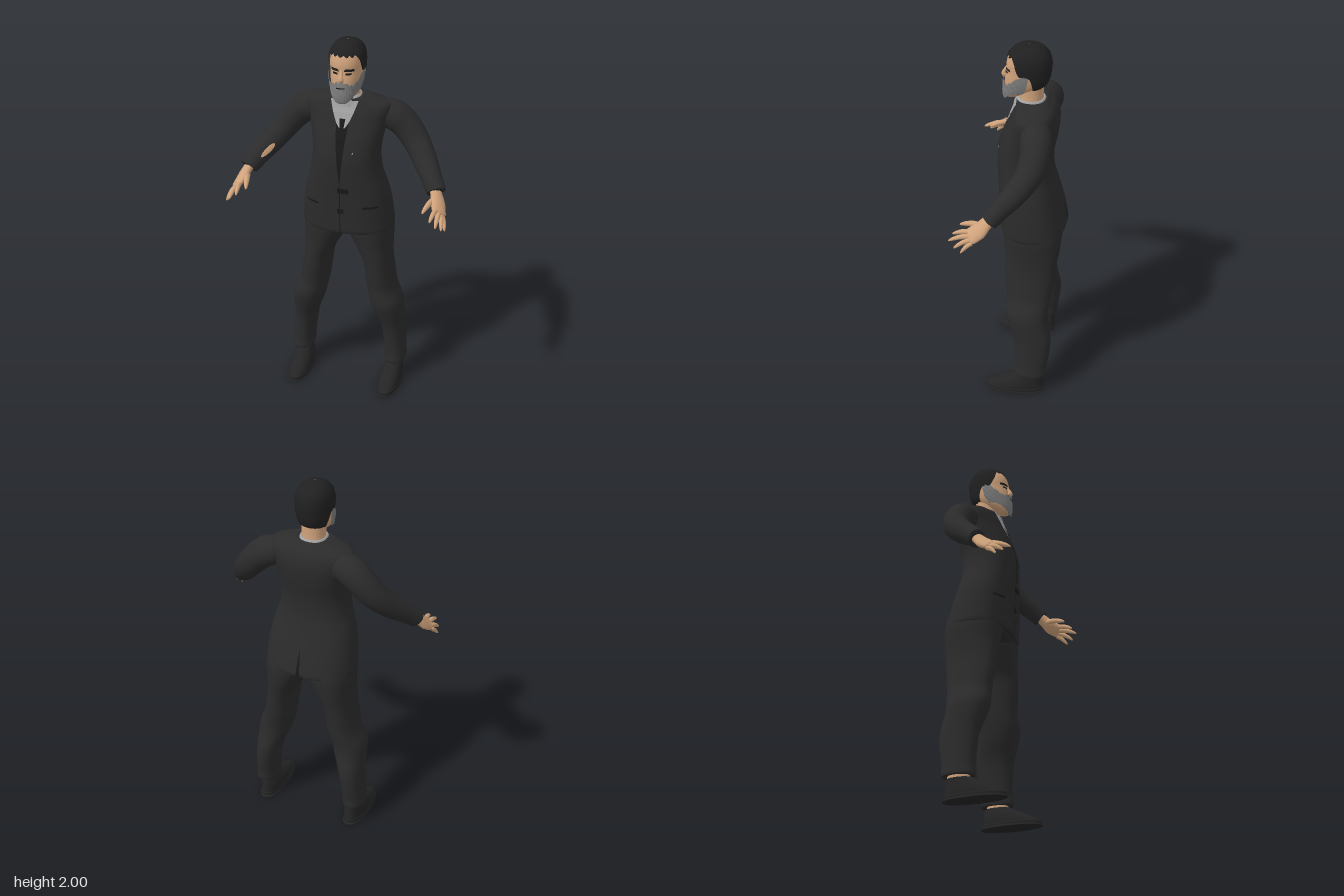
import * as THREE from 'three';
import { ParametricGeometry } from 'three/addons/geometries/ParametricGeometry.js';

const material = (name, color) => {
  const m = new THREE.MeshStandardMaterial({ color });
  m.name = name;
  return m;
};
const mix = (a, b, t) => a + (b - a) * t;
const smooth = (a, b, x) => THREE.MathUtils.smoothstep(x, a, b);

// Smoothly interpolated row [y, centreX, halfWidth, frontZ, backZ] at fractional index k
function rowAt(rows, k) {
  const n = rows.length - 1, i = Math.min(Math.floor(k), n - 1), t = k - i;
  const p = [i - 1, i, i + 1, i + 2].map((j) => rows[THREE.MathUtils.clamp(j, 0, n)]);
  return p[1].map((b, c) => {
    const a = p[0][c], d = p[2][c], e = p[3][c];
    return b + 0.5 * t * (d - a + t * (2 * a - 5 * b + 4 * d - e + t * (3 * (b - d) + e - a)));
  });
}
// Fractional index of height y
function indexOf(rows, y) {
  let i = 0;
  while (i < rows.length - 2 && rows[i + 1][0] <= y) i++;
  return i + THREE.MathUtils.clamp((y - rows[i][0]) / (rows[i + 1][0] - rows[i][0] || 1), 0, 1);
}
// Point on the rounded cross-section; angle 0 faces front
function ringPoint(rows, k, angle, off, power, out) {
  const [y, cx, rx, zf, zb] = rowAt(rows, k);
  const q = (v) => Math.sign(v) * Math.pow(Math.abs(v), 2 / power);
  return out.set(cx + (rx + off) * q(Math.sin(angle)), y,
    (zf + zb) / 2 + ((zf - zb) / 2 + off) * q(Math.cos(angle)));
}
const loft = (rows, power = 2.2) => (u, v, out) =>
  ringPoint(rows, v * (rows.length - 1), (u - 0.5) * Math.PI * 2, 0, power, out);

// Thin panel lying on the front (or back) of a loft, between two edges given as functions of y
const panel = (rows, power, y0, y1, left, right, off, back = false) => (u, v, out) => {
  const y = mix(y0, y1, v), [, cx, rx, zf, zb] = rowAt(rows, indexOf(rows, y));
  const x = THREE.MathUtils.clamp(mix(left(y), right(y), back ? 1 - u : u), -rx * 0.97, rx * 0.97);
  const bulge = Math.pow(1 - Math.pow(Math.abs((x - cx) / rx), power), 1 / power);
  const side = back ? -1 : 1;
  return out.set(x, y, (zf + zb) / 2 + side * ((zf - zb) / 2 * bulge + off));
};

// Elliptical tube through [x, y, z, radiusAlongSide, radiusAcross]
function tube(points, side, off = 0) {
  const curve = new THREE.CatmullRomCurve3(points.map((p) => new THREE.Vector3(p[0], p[1], p[2])));
  const hint = new THREE.Vector3(...side);
  return (u, v, out) => {
    const w = THREE.MathUtils.clamp(v, 0, 1), k = w * (points.length - 1);
    const i = Math.min(Math.floor(k), points.length - 2), a = u * Math.PI * 2;
    const t = curve.getTangent(w), s = hint.clone().addScaledVector(t, -hint.dot(t)).normalize();
    const n = t.clone().cross(s), r = (c) => mix(points[i][c], points[i + 1][c], k - i) + off;
    return out.copy(curve.getPoint(w)).addScaledVector(s, Math.cos(a) * r(3)).addScaledVector(n, Math.sin(a) * r(4));
  };
}

export function createModel() {
  const model = new THREE.Group();
  model.name = 'standingMan';
  const suit = material('suitBlack', 0x2b2b2b), detail = material('darkTrim', 0x191919);
  const skin = material('skin', 0xcfa27b), hair = material('hair', 0x202020);
  const beard = material('greyBeard', 0x7e7e7e), shirt = material('shirtGrey', 0xa2a2a2);
  const shoe = material('shoeBlack', 0x242424);

  const add = (name, mat, fn, nu = 32, nv = 32, s = 1) => {
    const f = s > 0 ? fn : (u, v, out) => { fn(1 - u, v, out); out.x *= -1; };
    const mesh = new THREE.Mesh(new ParametricGeometry(f, nu, nv), mat);
    mesh.name = name;
    model.add(mesh);
  };

  // Jacket
  const body = [
    [0.976, 0, 0.2, 0.04, -0.22], [0.97, 0, 0.241, 0.079, -0.262], [1.04, 0, 0.24, 0.085, -0.252],
    [1.12, 0, 0.232, 0.088, -0.232], [1.2, 0, 0.218, 0.092, -0.21], [1.3, 0, 0.188, 0.098, -0.188],
    [1.4, 0, 0.176, 0.098, -0.188], [1.5, 0, 0.187, 0.075, -0.206], [1.58, 0, 0.206, 0.043, -0.214],
    [1.635, 0, 0.222, 0.022, -0.206], [1.668, 0, 0.212, 0.008, -0.19], [1.688, 0, 0.152, 0.003, -0.168],
    [1.703, 0, 0.085, 0.002, -0.148], [1.695, 0, 0.05, -0.02, -0.12]];
  add('jacket', suit, loft(body, 2.4), 48, 64);
  const vestEdge = (y) => 0.035 * Math.max(0, y - 1.25) / 0.35;
  const shirtEdge = (y) => 0.072 * Math.pow(Math.max(0, y - 1.555) / 0.14, 0.55);
  const opening = (y) => Math.max(vestEdge(y), shirtEdge(y));
  const bodyPanel = (name, mat, y0, y1, l, r, off, back) => add(name, mat, panel(body, 2.4, y0, y1, l, r, off, back), 8, 20);
  bodyPanel('waistcoat', detail, 1.25, 1.6, (y) => -vestEdge(y), vestEdge, 0.002);
  bodyPanel('shirtFront', shirt, 1.555, 1.695, (y) => -shirtEdge(y), shirtEdge, 0.006);
  bodyPanel('tie', detail, 1.555, 1.607, (y) => -0.01 - (y - 1.555) * 0.1, (y) => 0.01 + (y - 1.555) * 0.1, 0.008);
  bodyPanel('frontSeam', detail, 0.97, 1.25, () => -0.003, () => 0.002, 0.002);
  bodyPanel('waistButton', detail, 1.212, 1.24, () => -0.012, () => 0.048, 0.004);
  bodyPanel('lowerButton', detail, 1.09, 1.118, () => -0.014, () => 0.02, 0.004);
  bodyPanel('chestPin', shirt, 1.437, 1.447, () => 0.057, () => 0.069, 0.004);
  bodyPanel('backVent', detail, 0.97, 1.12, (y) => -0.012 * (1.13 - y) / 0.16, (y) => 0.012 * (1.13 - y) / 0.16, 0.003, true);
  for (const s of [1, -1]) {
    const lapelOuter = (y) => opening(y) + 0.065 * Math.sin(Math.PI * smooth(1.1, 1.74, y)) * smooth(1.25, 1.55, y);
    add('lapel', suit, panel(body, 2.4, 1.25, 1.685, opening, lapelOuter, 0.006), 8, 24, s);
    add('pocketFlap', detail, panel(body, 2.4, 1.125, 1.137, () => 0.12, () => 0.19, 0.003), 8, 3, s);
  }

  // Neck and shirt collar
  add('neck', skin, loft([[1.66, 0, 0.066, 0.0, -0.135], [1.72, 0, 0.06, -0.012, -0.13], [1.8, 0, 0.06, -0.01, -0.13]]), 28, 8);
  add('shirtCollar', shirt, loft([[1.665, 0, 0.082, 0.02, -0.15], [1.69, 0, 0.075, 0.014, -0.147],
    [1.71, 0, 0.066, -0.003, -0.138], [1.708, 0, 0.057, -0.015, -0.126]]), 28, 12);

  // Head
  const head = [
    [1.705, 0, 0.002, 0.042, 0.038], [1.71, 0, 0.028, 0.06, 0.005], [1.74, 0, 0.053, 0.066, -0.055],
    [1.78, 0, 0.071, 0.065, -0.13], [1.82, 0, 0.08, 0.061, -0.153], [1.86, 0, 0.083, 0.054, -0.16],
    [1.9, 0, 0.084, 0.053, -0.162], [1.94, 0, 0.077, 0.04, -0.152], [1.97, 0, 0.058, 0.012, -0.128],
    [1.986, 0, 0.034, -0.02, -0.094], [1.991, 0, 0.001, -0.055, -0.057]];
  add('head', skin, loft(head), 36, 44);
  const hairEdge = (a) => {
    const d = Math.abs(a), ragged = 0.005 * Math.sin(a * 19) * (d < 1.1 ? 1 : 0.3);
    return 1.94 - 0.085 * smooth(0.85, 1.35, d) - 0.08 * smooth(1.6, 2.1, d) + ragged;
  };
  add('hair', hair, (u, v, out) => {
    const a = (u - 0.5) * Math.PI * 2;
    ringPoint(head, mix(indexOf(head, hairEdge(a)), head.length - 1, v), a, 0.009 - 0.008 * v ** 8, 2.2, out);
    out.y += 0.009 * v;
    return out;
  }, 96, 28);
  add('beard', beard, (u, v, out) => {
    const a = (u - 0.5) * 3.3, d = Math.abs(a);
    const low = 1.708 + 0.055 * smooth(0.5, 1.6, d), high = 1.812 - 0.014 * smooth(0.2, 0.6, d) + 0.062 * smooth(0.7, 1.5, d);
    const y = mix(low, high + 0.004 * Math.sin(a * 23), v);
    ringPoint(head, indexOf(head, y), a, 0.009 + 0.001 * Math.sin(a * 31 + v * 17), 2.2, out);
    out.y -= 0.01 * (1 - v);
    return out;
  }, 64, 16);
  add('mouth', detail, panel(head, 2.2, 1.781, 1.787, () => -0.022, () => 0.022, 0.013), 8, 2);
  add('nose', skin, tube([[0, 1.872, 0.05, 0.006, 0.006], [0, 1.85, 0.06, 0.009, 0.009],
    [0, 1.828, 0.068, 0.014, 0.013], [0, 1.815, 0.063, 0.012, 0.01], [0, 1.812, 0.058, 0.001, 0.001]], [1, 0, 0]), 12, 12);
  for (const s of [1, -1]) {
    add('eyebrow', hair, panel(head, 2.2, 1.866, 1.879, (y) => 0.012 + (y - 1.866) * 0.5, () => 0.06, 0.004), 8, 3, s);
    add('eye', detail, panel(head, 2.2, 1.849, 1.859, () => 0.02, () => 0.047, 0.003), 8, 3, s);
  }

  // Sleeves
  const armPoints = [[0.1, 1.61, -0.11, 0.03, 0.03], [0.17, 1.605, -0.116, 0.075, 0.074], [0.235, 1.585, -0.124, 0.081, 0.08],
    [0.29, 1.54, -0.125, 0.075, 0.075], [0.348, 1.473, -0.106, 0.069, 0.07], [0.413, 1.393, -0.044, 0.06, 0.063],
    [0.467, 1.33, 0.025, 0.051, 0.054], [0.502, 1.285, 0.07, 0.046, 0.05], [0.503, 1.283, 0.072, 0.02, 0.02]];
  for (const s of [1, -1]) add('sleeve', suit, tube(armPoints, [0, 0, 1]), 28, 48, s);
  const armSkin = tube(armPoints, [0, 0, 1], 0.004);
  add('sleeveTear', skin, (u, v, out) => {
    const a = v * Math.PI * 2, r = 0.01 + 0.99 * u;
    return armSkin(0.05 + 0.038 * r * Math.cos(a), 0.69 + 0.06 * r * Math.sin(a), out);
  }, 6, 20, -1);

  // Hands: palm, then thumb to little finger as [base, tip, radius]
  const across = [0.72, -0.62, -0.25];
  const fingers = [
    [[0.495, 1.255, 0.11], [0.465, 1.228, 0.22], 0.015], [[0.522, 1.228, 0.155], [0.51, 1.2, 0.25], 0.013],
    [[0.537, 1.213, 0.16], [0.543, 1.18, 0.265], 0.013], [[0.549, 1.199, 0.155], [0.568, 1.155, 0.235], 0.0125],
    [[0.556, 1.187, 0.145], [0.579, 1.137, 0.2], 0.0115]];
  for (const s of [1, -1]) {
    add('palm', skin, tube([[0.49, 1.3, 0.055, 0.03, 0.025], [0.507, 1.272, 0.085, 0.034, 0.024], [0.522, 1.24, 0.115, 0.044, 0.023],
      [0.537, 1.213, 0.155, 0.043, 0.018], [0.54, 1.207, 0.172, 0.012, 0.005]], across), 20, 16, s);
    fingers.forEach(([a, b, r], i) => {
      const at = (t, k) => [mix(a[0], b[0], t), mix(a[1], b[1], t) + 0.008 * Math.sin(Math.PI * t), mix(a[2], b[2], t), r * k, r * k];
      add(i ? 'finger' : 'thumb', skin, tube([at(0, 1), at(0.4, 1), at(0.75, 0.75), at(0.95, 0.4), at(1, 0.05)], across), 10, 12, s);
    });
  }

  // Trousers, ankles and shoes
  add('trouserSeat', suit, loft([[0.935, 0, 0.03, -0.05, -0.15], [0.945, 0, 0.12, 0.015, -0.21],
    [0.965, 0, 0.225, 0.055, -0.248], [1.02, 0, 0.23, 0.06, -0.245]]), 40, 16);
  const leg = [[1.02, 0.12, 0.117, 0.055, -0.24], [0.95, 0.121, 0.121, 0.055, -0.248], [0.87, 0.138, 0.1, 0.048, -0.241],
    [0.78, 0.162, 0.077, 0.044, -0.226], [0.68, 0.178, 0.076, 0.038, -0.214], [0.6, 0.191, 0.079, 0.03, -0.205],
    [0.52, 0.216, 0.088, 0.034, -0.193], [0.45, 0.23, 0.082, 0.018, -0.197], [0.36, 0.248, 0.066, -0.01, -0.214],
    [0.27, 0.259, 0.06, -0.022, -0.21], [0.18, 0.266, 0.058, -0.025, -0.197], [0.125, 0.269, 0.057, -0.022, -0.192],
    [0.13, 0.269, 0.03, -0.06, -0.15]].reverse();
  const upper = [[0.025, 0.26, 0.057, 0.13, -0.182], [0.045, 0.26, 0.057, 0.103, -0.18], [0.07, 0.261, 0.053, 0.053, -0.178],
    [0.095, 0.264, 0.046, 0.002, -0.176], [0.113, 0.267, 0.04, -0.035, -0.17], [0.105, 0.267, 0.02, -0.07, -0.14]];
  const sole = [[0.0, 0.26, 0.002, 0, -0.004], [0.0, 0.26, 0.058, 0.132, -0.182], [0.012, 0.26, 0.059, 0.136, -0.184],
    [0.028, 0.26, 0.058, 0.133, -0.183], [0.03, 0.26, 0.04, 0.1, -0.15]];
  const ankle = [[0.07, 0.268, 0.037, -0.05, -0.165], [0.16, 0.268, 0.037, -0.05, -0.165]];
  for (const s of [1, -1]) {
    add('trouserLeg', suit, loft(leg), 32, 52, s);
    add('ankle', skin, loft(ankle), 20, 2, s);
    add('shoeUpper', shoe, loft(upper), 32, 20, s);
    add('shoeSole', shoe, loft(sole), 32, 16, s);
  }
  return model;
}
